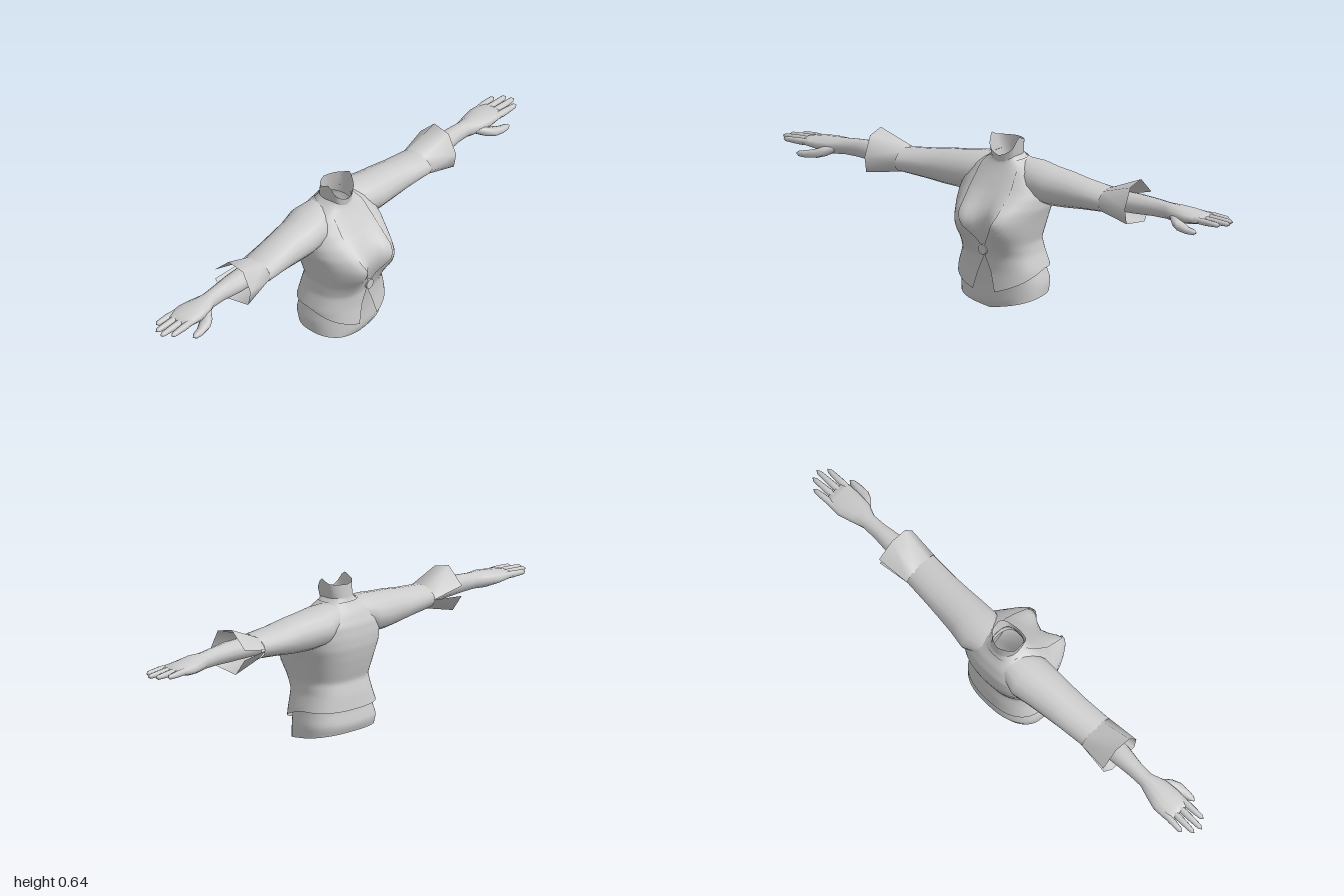
import * as THREE from 'three';

const mat = new THREE.MeshStandardMaterial({ color: 0xcccccc, side: THREE.DoubleSide });
const V = (x, y, z) => new THREE.Vector3(x, y, z);

// Skin a list of equally long point rings
function loft(name, rings, closed = true) {
  const n = rings[0].length, index = [];
  for (let i = 0; i < rings.length - 1; i++)
    for (let j = 0; j < (closed ? n : n - 1); j++) {
      const a = i * n + j, b = i * n + (j + 1) % n;
      index.push(a, a + n, b, b, a + n, b + n);
    }
  const geo = new THREE.BufferGeometry().setFromPoints(rings.flat());
  geo.setIndex(index);
  geo.computeVertexNormals();
  const mesh = new THREE.Mesh(geo, mat);
  mesh.name = name;
  return mesh;
}

// Oval ring across the arm: bottom, top, front and back limits at x
function armRing([x, yb, yt, zf, zb], n = 12) {
  return Array.from({ length: n }, (_, j) => {
    const a = j / n * Math.PI * 2;
    return V(x, (yb + yt) / 2 + (yt - yb) / 2 * Math.sin(a), (zf + zb) / 2 + (zf - zb) / 2 * Math.cos(a));
  });
}
const limb = (name, rows, n) => loft(name, rows.map(r => armRing(r, n)));

// Linear lookup in rows keyed by their first number
function sample(rows, y) {
  let i = 0;
  while (i < rows.length - 2 && y > rows[i + 1][0]) i++;
  const t = THREE.MathUtils.clamp((y - rows[i][0]) / (rows[i + 1][0] - rows[i][0]), 0, 1);
  return rows[i].map((v, k) => THREE.MathUtils.lerp(v, rows[i + 1][k], t));
}

// Torso profile: height, front z, back z, half width
const upper = [
  [0.21, 0.095, -0.143, 0.145], [0.257, 0.105, -0.13, 0.14], [0.3, 0.11, -0.143, 0.15],
  [0.345, 0.108, -0.155, 0.16], [0.39, 0.098, -0.164, 0.172], [0.43, 0.08, -0.165, 0.172],
  [0.475, 0.052, -0.16, 0.16], [0.52, 0.022, -0.14, 0.125], [0.552, 0.004, -0.115, 0.07],
  [0.57, 0.005, -0.11, 0.052],
];
const bodyRows = [
  [0, 0.065, -0.13, 0.162], [0.025, 0.08, -0.14, 0.168], [0.065, 0.08, -0.146, 0.17],
  [0.095, 0.08, -0.157, 0.17], [0.15, 0.085, -0.145, 0.155], ...upper];
const jacketRows = [[0.07, 0.106, -0.158, 0.172], [0.15, 0.096, -0.153, 0.166], ...upper];
// Half width of the jacket opening by height
const opening = [[0.07, 0.05], [0.15, 0.028], [0.21, 0.001], [0.24, 0.001], [0.27, 0.016], [0.33, 0.06],
  [0.38, 0.083], [0.45, 0.09], [0.53, 0.08], [0.56, 0.06]];

const POW = 0.8;
const bend = c => Math.sign(c) * Math.abs(c) ** POW;

// Point on the torso: phi runs from front (0) to back (PI)
function torsoPoint(rows, y, phi, side, grow) {
  const [, zf, zb, w] = sample(rows, y);
  const x = side * (w + grow) * bend(Math.sin(phi));
  let z = (zf + zb) / 2 + ((zf - zb) / 2 + grow) * bend(Math.cos(phi));
  if (Math.cos(phi) > 0) {
    const dy = (y - 0.35) / (y > 0.35 ? 0.05 : 0.06);
    const bump = c => Math.exp(-(((x - c) / 0.042) ** 2 + dy * dy) / 2);
    z += 0.06 * (bump(0.082) + bump(-0.082)) * Math.min(1, 2 * Math.cos(phi));
  }
  return V(x, y, z);
}

function torso() {
  const n = 48, m = 36, rings = [];
  for (let i = 0; i <= m; i++)
    rings.push(Array.from({ length: n }, (_, j) => {
      const u = -1 + 2 * j / n, phi = Math.PI * (1 - Math.abs(u));
      const low = 0.065 * Math.max(0, (1 - Math.cos(phi)) / 2) ** 0.4;
      return torsoPoint(bodyRows, low + (0.57 - low) * i / m, phi, Math.sign(u), 0);
    }));
  return loft('body', rings);
}

function jacket() {
  const n = 48, m = 40, rings = [];
  for (let i = 0; i <= m; i++)
    rings.push(Array.from({ length: n + 1 }, (_, j) => {
      const u = -1 + 2 * j / n, a = Math.abs(u);
      const hem = 0.077 + 0.076 * Math.min(1, (1 - a) / 0.5);
      const y = hem + (0.557 - hem) * i / m;
      const w = sample(jacketRows, y)[3] + 0.006;
      const start = Math.asin(Math.min(1, sample(opening, y)[1] / w) ** (1 / POW));
      return torsoPoint(jacketRows, y, Math.PI - a * (Math.PI - start), Math.sign(u), 0.006);
    }));
  return loft('jacket', rings, false);
}

// Upright collar with two peaks and a V dip at the front
function collar() {
  const n = 32;
  const rim = [[0, 0.572, 0.012], [0.9, 0.6, -0.005], [1.3, 0.643, -0.03], [1.9, 0.624, -0.07], [3.15, 0.62, -0.108]];
  const ring = t => Array.from({ length: n }, (_, j) => {
    const u = -1 + 2 * j / n, phi = Math.PI * (1 - Math.abs(u));
    const [, yt, zt] = sample(rim, phi);
    return V(Math.sign(u) * (0.05 + 0.012 * t) * Math.sin(phi) ** 0.7,
      THREE.MathUtils.lerp(0.54, yt, t),
      THREE.MathUtils.lerp(-0.053 + 0.06 * Math.cos(phi), zt, t));
  });
  return loft('collar', [0, 0.33, 0.66, 1].map(ring));
}

function arm() {
  const g = new THREE.Group();
  g.add(limb('sleeve', [
    [0.06, 0.45, 0.555, -0.01, -0.14], [0.13, 0.405, 0.552, 0.022, -0.162], [0.2, 0.398, 0.542, 0.022, -0.147],
    [0.27, 0.402, 0.535, 0.02, -0.138], [0.34, 0.41, 0.523, 0.02, -0.13], [0.455, 0.42, 0.51, 0.025, -0.12]], 16));

  // Flared cuff, split at the back
  const edge = [[-0.135, 0.455], [-0.09, 0.392], [0.025, 0.41], [0.036, 0.47], [0, 0.545], [-0.07, 0.56], [-0.137, 0.495]];
  const inner = edge.map((_, k) => {
    const a = -Math.PI + k / 6 * Math.PI * 2;
    return V(0.45, 0.465 + 0.046 * Math.sin(a), -0.0475 + 0.073 * Math.cos(a));
  });
  g.add(loft('cuff', [inner, edge.map(([z, y]) => V(0.582, y, z))], false));

  g.add(limb('forearmAndPalm', [
    [0.44, 0.43, 0.508, 0, -0.095], [0.58, 0.433, 0.51, -0.005, -0.09], [0.66, 0.436, 0.505, -0.018, -0.083],
    [0.72, 0.436, 0.499, -0.02, -0.082], [0.77, 0.432, 0.497, 0, -0.098], [0.82, 0.437, 0.49, 0.004, -0.112],
    [0.87, 0.446, 0.483, 0.003, -0.111], [0.895, 0.452, 0.476, 0, -0.108], [0.897, 0.464, 0.465, -0.05, -0.06]]));

  // Fingers: root z, tip z, tip x
  const fingers = [['indexFinger', -0.012, -0.01, 0.975], ['middleFinger', -0.04, -0.042, 1],
    ['ringFinger', -0.068, -0.073, 0.99], ['littleFinger', -0.095, -0.102, 0.955]];
  for (const [name, z0, z1, tip] of fingers)
    g.add(limb(name, [[0, 0.012], [0.35, 0.0135], [0.6, 0.012], [0.9, 0.0095], [1, 0.001]].map(([t, r]) => {
      const z = z0 + (z1 - z0) * t, y = 0.466 - 0.003 * t;
      return [0.86 + (tip - 0.86) * t, y - r, y + r, z + r, z - r];
    }), 8));
  g.add(limb('thumb', [
    [0.745, 0.45, 0.475, -0.015, -0.045], [0.78, 0.43, 0.47, 0.022, -0.035], [0.81, 0.422, 0.458, 0.038, -0.015],
    [0.85, 0.418, 0.447, 0.04, 0.005], [0.88, 0.419, 0.442, 0.037, 0.013], [0.893, 0.428, 0.432, 0.028, 0.023]], 8));
  return g;
}

export function createModel() {
  const model = new THREE.Group();
  model.add(torso(), jacket(), collar());

  const button = new THREE.Mesh(new THREE.CylinderGeometry(0.019, 0.019, 0.012, 16), mat);
  button.name = 'button';
  button.rotation.x = Math.PI / 2;
  button.position.set(0, 0.235, 0.112);
  model.add(button);

  for (const side of [1, -1]) {
    const a = arm();
    a.name = side > 0 ? 'leftArm' : 'rightArm';
    a.scale.x = side;
    model.add(a);
  }
  return model;
}
